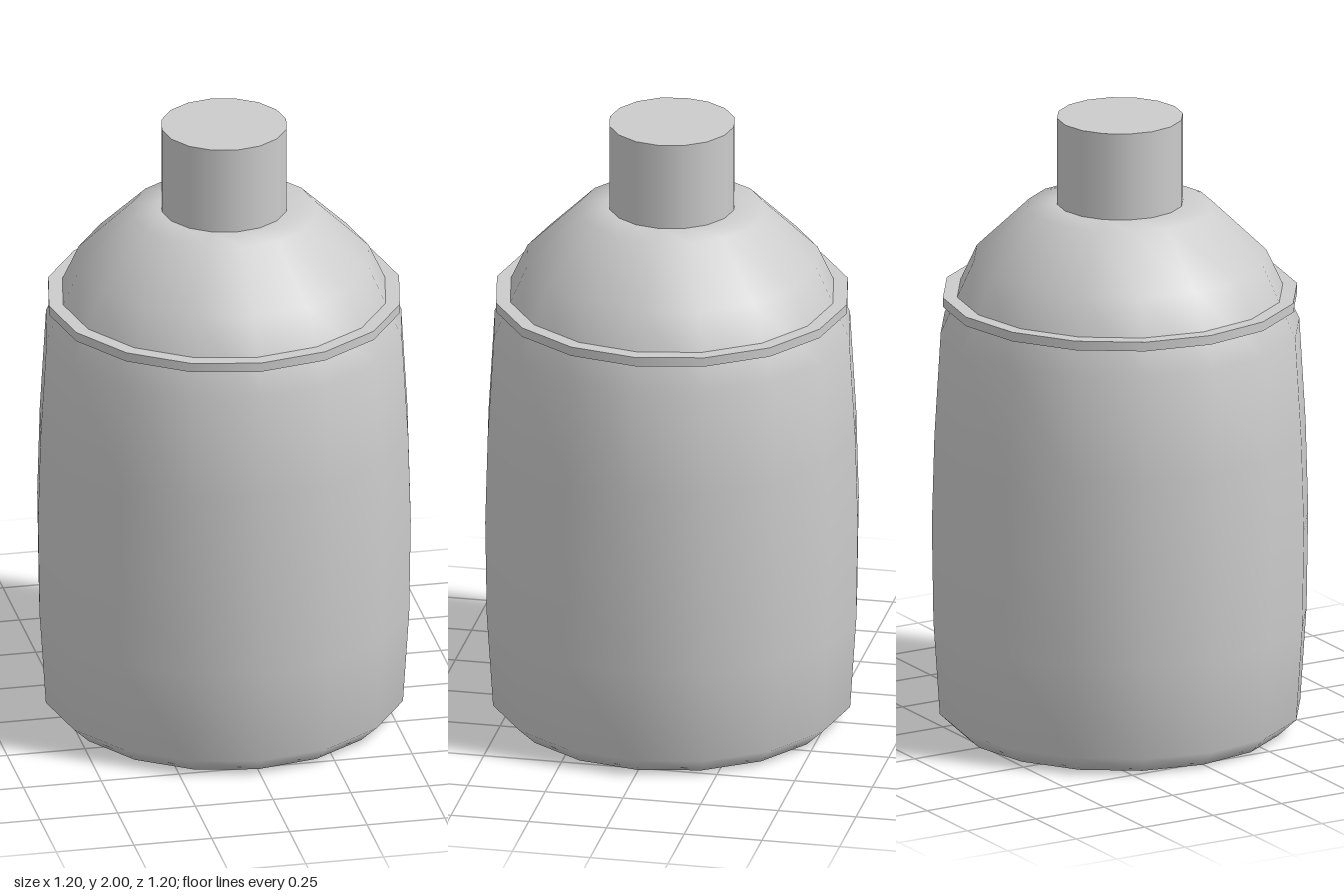
import * as THREE from 'three';

const SIDES = 16;

export function createModel() {
  const group = new THREE.Group();
  const material = new THREE.MeshStandardMaterial({ color: 0xcccccc });
  const add = (name, geometry, y = 0) => {
    const mesh = new THREE.Mesh(geometry, material);
    mesh.name = name;
    mesh.position.y = y;
    group.add(mesh);
  };

  // Bulging body with chamfered foot and domed shoulder
  const profile = [
    [0, 0], [0.515, 0], [0.573, 0.055], [0.593, 0.36], [0.598, 0.68],
    [0.59, 0.97], [0.57, 1.31], [0.465, 1.54], [0.295, 1.705], [0.2, 1.717], [0, 1.717],
  ].map(([r, y]) => new THREE.Vector2(r, y));
  add('body', new THREE.LatheGeometry(profile, SIDES));

  // Thin band around the shoulder
  add('shoulderBand', new THREE.CylinderGeometry(0.563, 0.563, 0.03, SIDES), 1.41);

  // Straight neck with a flat top
  add('neck', new THREE.CylinderGeometry(0.2, 0.2, 0.3, SIDES), 1.85);

  return group;
}
